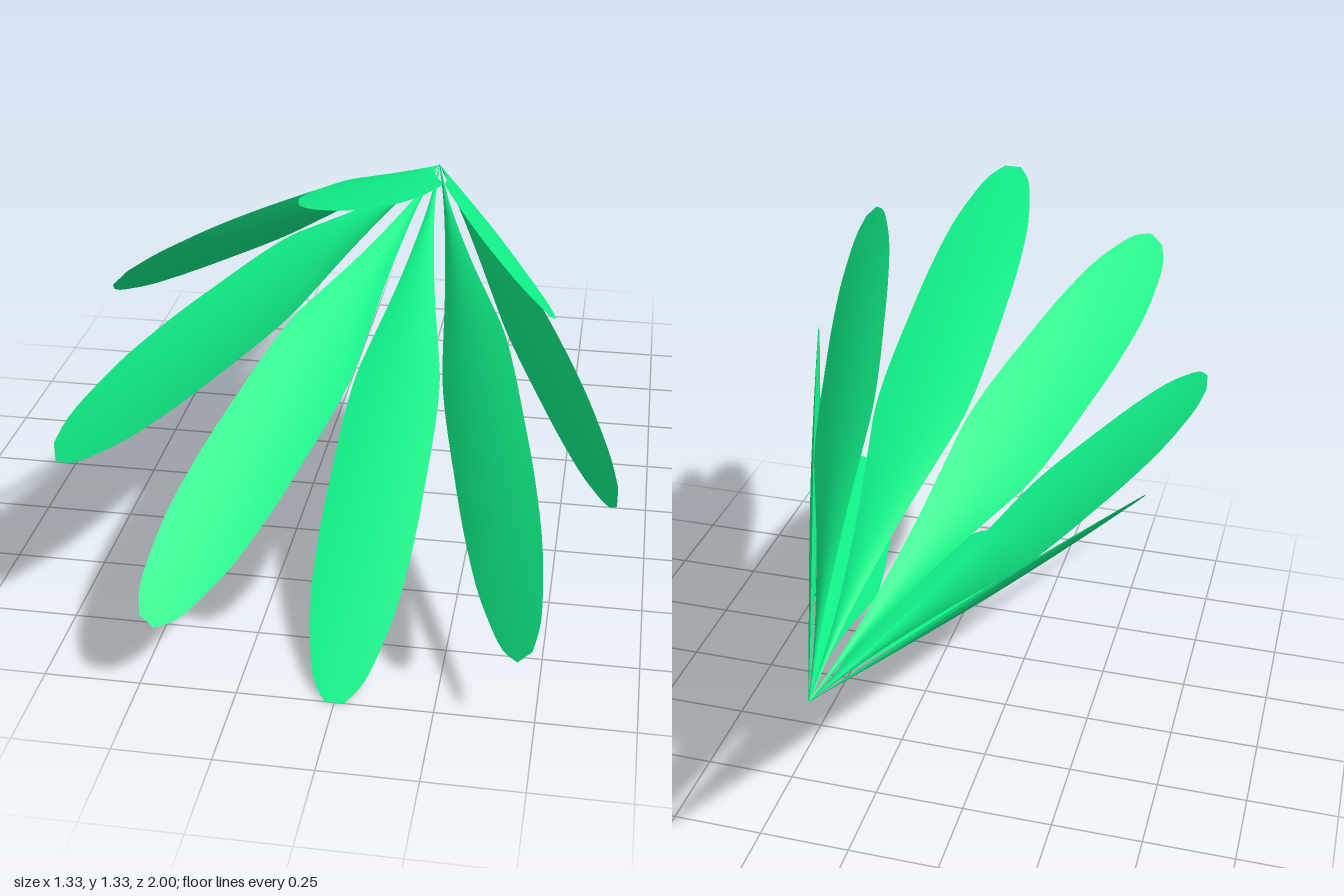
import * as THREE from 'three';
import { mergeGeometries } from 'three/addons/utils/BufferGeometryUtils.js';

const RADIUS = 0.665; // reach of the petal tips from the axis
const DEPTH = 2; // apex to tips along z
const THICKNESS = 0.012; // bulge of each petal face at its middle

// Half width of a petal along its length: [position 0..1, half width]
const outline = new THREE.SplineCurve([
  [0, 0.001], [0.1, 0.011], [0.2, 0.034], [0.3, 0.064], [0.4, 0.101], [0.47, 0.125],
  [0.55, 0.134], [0.65, 0.134], [0.75, 0.131], [0.85, 0.117], [0.92, 0.092],
  [0.97, 0.064], [1, 0.025],
].map(([t, w]) => new THREE.Vector2(t, w)));

// One bulging face of a petal, growing along +y and facing +z
function petalFace() {
  const geometry = new THREE.PlaneGeometry(2, 1, 12, 36);
  const position = geometry.attributes.position;
  for (let i = 0; i < position.count; i++) {
    const u = position.getX(i);
    const p = outline.getPoint(position.getY(i) + 0.5);
    const bulge = THICKNESS * Math.sin(Math.PI * Math.min(p.x, 1)) * (1 - u * u);
    position.setXYZ(i, u * p.y, p.x * Math.hypot(RADIUS, DEPTH), bulge);
  }
  geometry.computeVertexNormals();
  return geometry;
}

export function createModel() {
  const model = new THREE.Group();
  model.name = 'flower';
  const material = new THREE.MeshStandardMaterial({ color: 0x10f088 });

  // Thin lens-shaped petal, leaning forward from the apex
  const petal = mergeGeometries([petalFace(), petalFace().rotateY(Math.PI)]);
  petal.rotateX(Math.atan2(DEPTH, RADIUS));

  // Eight petals fanned around the z axis
  for (let i = 0; i < 8; i++) {
    const mesh = new THREE.Mesh(petal, material);
    mesh.name = `petal${i + 1}`;
    mesh.rotation.z = (i * Math.PI) / 4;
    mesh.position.set(0, RADIUS, -DEPTH / 2);
    model.add(mesh);
  }
  return model;
}
